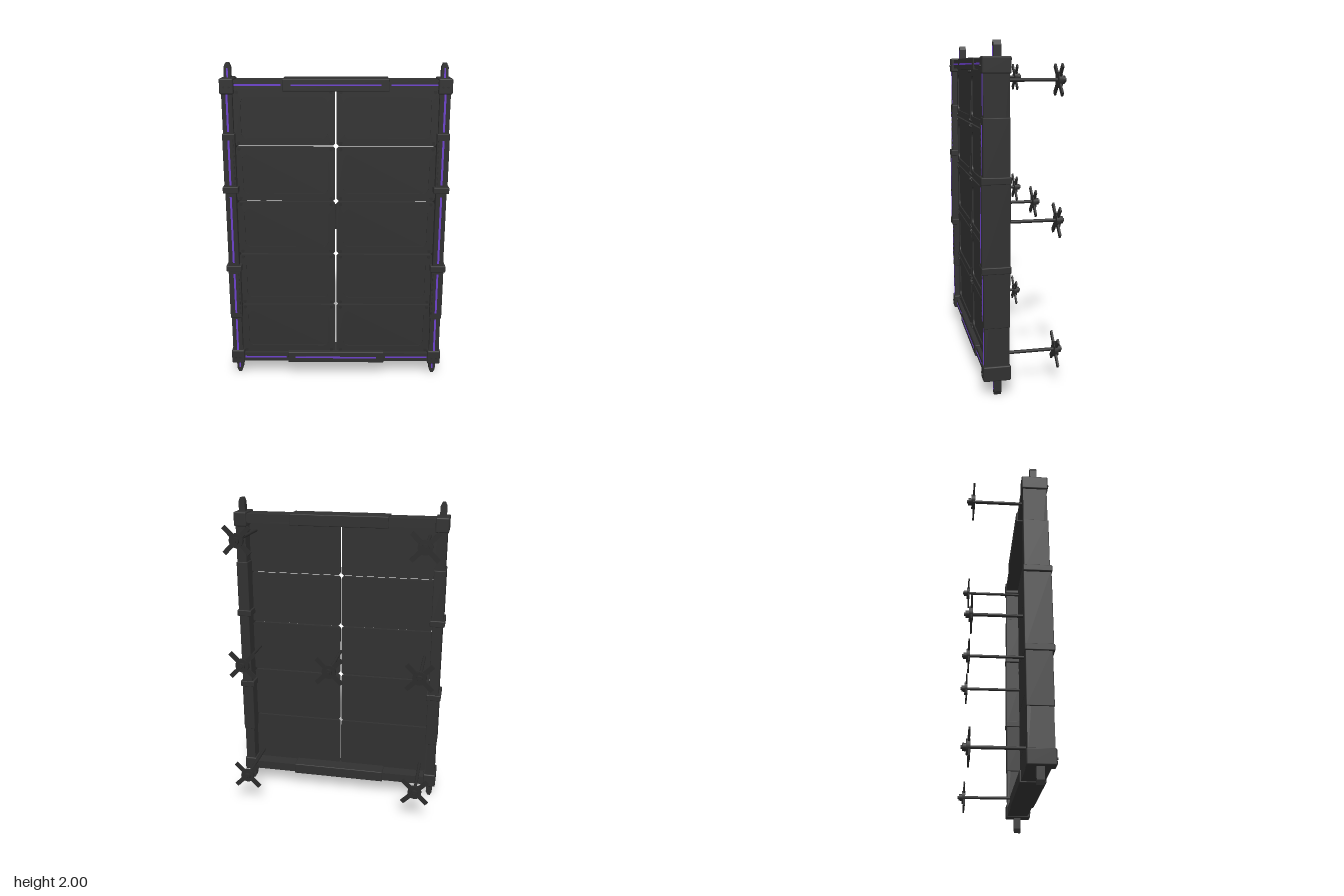
import * as THREE from 'three';
import { RoundedBoxGeometry } from 'three/addons/geometries/RoundedBoxGeometry.js';

const mat = (name, color) => {
  const m = new THREE.MeshStandardMaterial({ color });
  m.name = name;
  return m;
};

export function createModel() {
  const model = new THREE.Group();
  model.name = 'panelWall';
  const charcoal = mat('charcoal', 0x303030);
  const darkMetal = mat('darkMetal', 0x2b2b2b);
  const purple = mat('purpleLight', 0x6c40cc);

  const add = (name, geo, m, parent = model) => {
    const mesh = new THREE.Mesh(geo, m);
    mesh.name = name;
    parent.add(mesh);
    return mesh;
  };
  // Box given by its limits; bevel > 0 softens the edges
  const box = (name, x0, x1, y0, y1, z0, z1, m = charcoal, bevel = 0) => {
    const s = [x1 - x0, y1 - y0, z1 - z0];
    const geo = bevel ? new RoundedBoxGeometry(...s, 2, bevel) : new THREE.BoxGeometry(...s);
    return add(name, geo.translate((x0 + x1) / 2, (y0 + y1) / 2, (z0 + z1) / 2), m);
  };
  // Box centred on x = cx with half width hw
  const post = (name, cx, hw, y0, y1, z0, z1, m, bevel) =>
    box(name, cx - hw, cx + hw, y0, y1, z0, z1, m, bevel);
  const bolt = (name, x, y, z, r) =>
    add(name, new THREE.CylinderGeometry(r, r, 0.008, 10).rotateX(Math.PI / 2), darkMetal).position.set(x, y, z);

  // Side posts, collars, corner blocks and pins
  for (const s of [-1, 1]) {
    const cx = s * 0.633;
    post('sidePost', cx, 0.031, 0.13, 1.88, 0.088, 0.232);
    for (const [y0, y1] of [[0.413, 0.75], [1.255, 1.595]]) {
      post('sideSleeve', cx, 0.037, y0, y1, 0.085, 0.236, charcoal, 0.004);
      // Row of small teeth along the inner edge of the sleeve
      for (let i = 0; i < 9; i++) {
        const y = y0 + 0.04 + i * (y1 - y0 - 0.08) / 8;
        post('sleeveTooth', s * 0.606, 0.004, y - 0.009, y + 0.009, 0.235, 0.241, darkMetal);
      }
    }
    post('middleSleeve', cx, 0.032, 0.75, 1.255, 0.082, 0.245, charcoal, 0.004);
    for (const y of [0.752, 1.255]) post('collar', cx, 0.047, y - 0.02, y + 0.02, 0.08, 0.248, charcoal, 0.005);

    // Light strips on the posts
    const strips = [[0.18, 0.405, 0.233], [0.45, 0.715, 0.237], [0.79, 1.215, 0.246], [1.285, 1.555, 0.237], [1.605, 1.83, 0.233]];
    for (const [y0, y1, z] of strips) post('postLight', cx, 0.006, y0, y1, z - 0.003, z + 0.001, purple);

    for (const top of [false, true]) {
      const yc = top ? 1.87 : 0.14;
      post('cornerBlock', cx, 0.041, yc - 0.045, yc + 0.045, 0.08, 0.24, charcoal, 0.008);
      for (const dx of [-0.015, 0.015]) bolt('cornerBolt', cx + dx, yc - 0.005, 0.242, 0.006);
      // Pin with a blunt tapered tip
      const shape = new THREE.Shape([[-0.02, 0], [0.02, 0], [0.02, 0.075], [0.009, 0.1], [-0.009, 0.1], [-0.02, 0.075]]
        .map(p => new THREE.Vector2(...p)));
      const pin = add('cornerPin', new THREE.ExtrudeGeometry(shape, { depth: 0.042, bevelEnabled: false }), charcoal);
      pin.position.set(cx, top ? 1.9 : 0.1, top ? 0.133 : 0.175);
      if (!top) pin.rotation.x = Math.PI;
      post('pinLight', cx, 0.005, top ? 1.915 : 0.03, top ? 1.97 : 0.093, 0.174, 0.177, purple);
    }
  }

  // Top and bottom rails with their sleeves and lights
  for (const y of [1.877, 0.133]) {
    box('rail', -0.6, 0.6, y - 0.028, y + 0.028, 0.088, 0.222);
    box('railSleeve', -0.31, 0.31, y - 0.036, y + 0.036, 0.08, 0.23, charcoal, 0.005);
    box('railLight', -0.262, 0.262, y - 0.005, y + 0.005, 0.228, 0.232, purple);
    for (const s of [-1, 1]) {
      const x = s * 0.455;
      box('railLight', x - 0.135, x + 0.135, y - 0.005, y + 0.005, 0.22, 0.224, purple);
    }
  }

  // Ten panels with chamfered corners and a recessed rounded field
  const rows = [0.158, 0.495, 0.835, 1.175, 1.515, 1.852];
  const outline = (w, h, c) => new THREE.Shape([
    [-w + c, -h], [w - c, -h], [w, -h + c], [w, h - c], [w - c, h], [-w + c, h], [-w, h - c], [-w, -h + c],
  ].map(p => new THREE.Vector2(...p)));
  const rounded = (w, h, r) => {
    const p = new THREE.Path();
    p.absarc(w - r, h - r, r, 0, Math.PI / 2);
    p.absarc(-w + r, h - r, r, Math.PI / 2, Math.PI);
    p.absarc(-w + r, -h + r, r, Math.PI, Math.PI * 1.5);
    p.absarc(w - r, -h + r, r, Math.PI * 1.5, Math.PI * 2);
    p.closePath();
    return p;
  };
  for (const s of [-1, 1]) {
    for (let i = 0; i < 5; i++) {
      const h = (rows[i + 1] - rows[i]) / 2 - 0.004;
      const w = 0.299;
      const panel = new THREE.Group();
      panel.name = 'panel';
      panel.position.set(s * 0.304, (rows[i] + rows[i + 1]) / 2, 0.175);
      model.add(panel);
      const back = new THREE.ExtrudeGeometry(outline(w, h, 0.012), { depth: 0.017, bevelEnabled: false });
      add('panelBack', back, charcoal, panel);
      const rim = outline(w, h, 0.012);
      rim.holes.push(rounded(0.257, 0.122, 0.035));
      const rimGeo = new THREE.ExtrudeGeometry(rim, { depth: 0.008, bevelEnabled: false, curveSegments: 6 });
      add('panelRim', rimGeo.translate(0, 0, 0.017), charcoal, panel);
      for (const bx of [-0.275, 0.275]) for (const by of [-1, 1]) {
        bolt('panelBolt', panel.position.x + bx, panel.position.y + by * (h - 0.015), 0.202, 0.01);
      }
    }
  }

  // Rear anchors: a rod ending in a four-armed foot
  const spots = [[0, 1.0]];
  for (const x of [-0.558, 0.558]) for (const y of [0.215, 1.0, 1.79]) spots.push([x, y]);
  for (const [x, y] of spots) {
    const anchor = new THREE.Group();
    anchor.name = 'anchor';
    anchor.position.set(x, y, 0);
    model.add(anchor);
    const disc = (name, r, z0, z1, n = 16) => add(name,
      new THREE.CylinderGeometry(r, r, z1 - z0, n).rotateX(Math.PI / 2).translate(0, 0, (z0 + z1) / 2), darkMetal, anchor);
    disc('anchorRod', 0.01, -0.21, 0.176, 12);
    disc('anchorHub', 0.044, -0.222, -0.2);
    disc('anchorCap', 0.022, -0.242, -0.222);
    disc('anchorTip', 0.011, -0.25, -0.242, 8);
    for (let k = 0; k < 4; k++) {
      const arm = new THREE.BoxGeometry(0.112, 0.028, 0.011).translate(0.056, 0, -0.208);
      add('anchorArm', arm, darkMetal, anchor).rotation.z = Math.PI / 4 + k * Math.PI / 2;
    }
  }
  return model;
}
